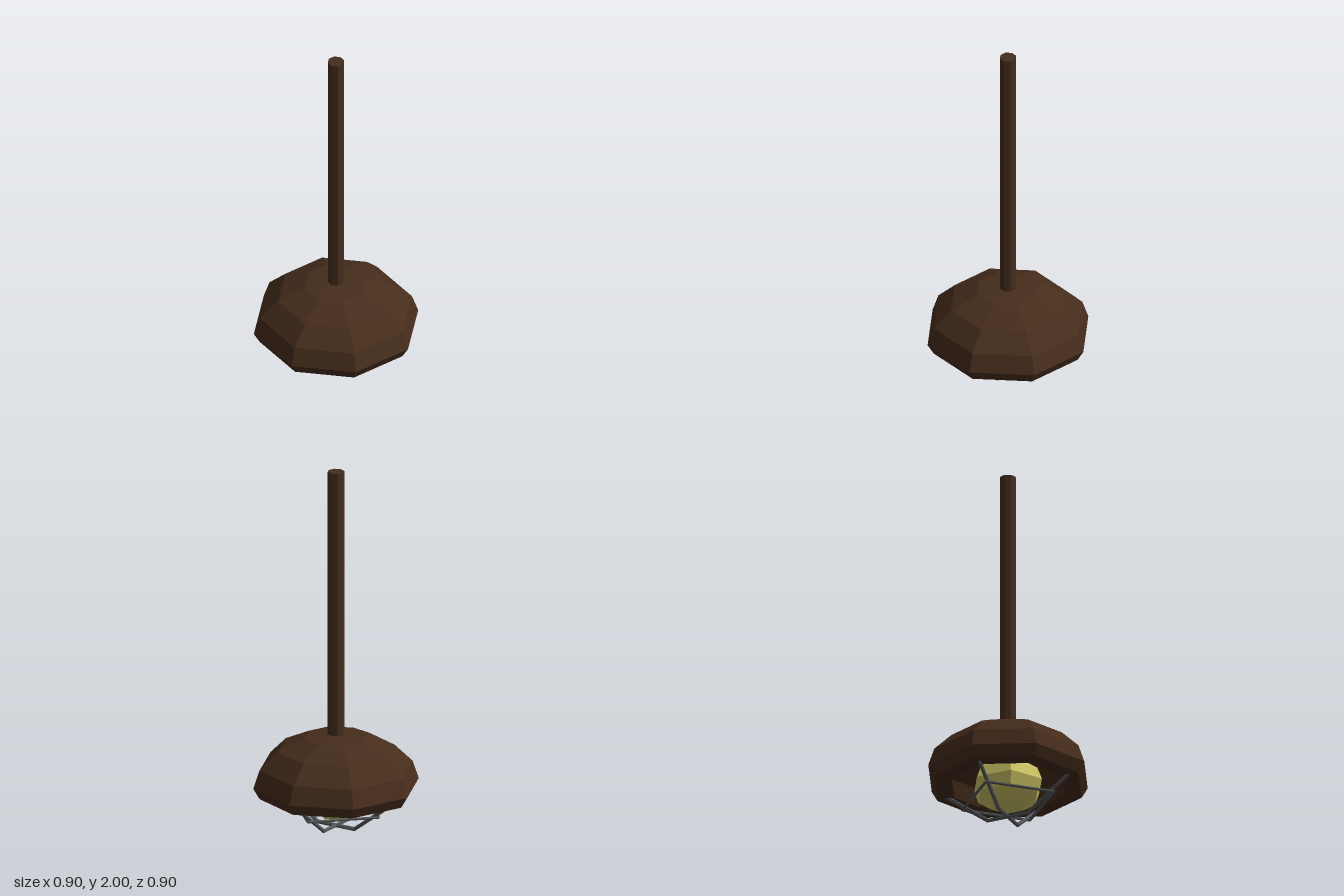
import * as THREE from 'three';

const mat = (color, side = THREE.FrontSide) =>
  new THREE.MeshStandardMaterial({ color, flatShading: true, side });

// Straight bar between two points
function bar(a, b, radius, material, name) {
  const dir = b.clone().sub(a);
  const mesh = new THREE.Mesh(new THREE.CylinderGeometry(radius, radius, dir.length(), 6), material);
  mesh.position.copy(a).add(b).multiplyScalar(0.5);
  mesh.quaternion.setFromUnitVectors(new THREE.Vector3(0, 1, 0), dir.normalize());
  mesh.name = name;
  return mesh;
}

export function createModel() {
  const lamp = new THREE.Group();
  lamp.name = 'pendantLamp';
  const brown = mat(0x462d1c);
  const metal = mat(0x55585a);

  // Hanging pole
  const pole = new THREE.Mesh(new THREE.CylinderGeometry(0.045, 0.045, 1.5, 8), brown);
  pole.position.y = 1.25;
  pole.name = 'pole';
  lamp.add(pole);

  // Eight-sided dome with a flat underside lip around the opening
  const profile = [[0.318, 0.187], [0.416, 0.187], [0.45, 0.247], [0.416, 0.347],
    [0.318, 0.443], [0.172, 0.511], [0, 0.532]].map(([r, y]) => new THREE.Vector2(r, y));
  const shade = new THREE.Mesh(new THREE.LatheGeometry(profile, 8), mat(0x462d1c, THREE.DoubleSide));
  shade.name = 'shade';
  lamp.add(shade);

  // Squashed six-sided bulb, corners on the z axis
  const bulb = new THREE.Mesh(new THREE.SphereGeometry(0.2, 6, 6), mat(0xd2ca68));
  bulb.scale.y = 0.7;
  bulb.rotation.y = Math.PI / 2;
  bulb.position.y = 0.195;
  bulb.name = 'bulb';
  lamp.add(bulb);

  // Wire guard: two crossing bent rods and a diamond of bars
  const guard = new THREE.Group();
  guard.name = 'guard';
  const at = (angle, r, y) => new THREE.Vector3(Math.cos(angle) * r, y, Math.sin(angle) * r);
  for (let i = 0; i < 4; i++) {
    const a = (i * Math.PI) / 2;
    const next = a + Math.PI / 2;
    guard.add(bar(at(a, 0.36, 0.195), at(a, 0.118, 0.012), 0.011, metal, 'guardArm'));
    guard.add(bar(at(a, 0.27, 0.105), at(next, 0.27, 0.105), 0.008, metal, 'guardRingBar'));
    if (i < 2) guard.add(bar(at(a, 0.123, 0.012), at(a, -0.123, 0.012), 0.011, metal, 'guardBase'));
  }
  lamp.add(guard);

  return lamp;
}
